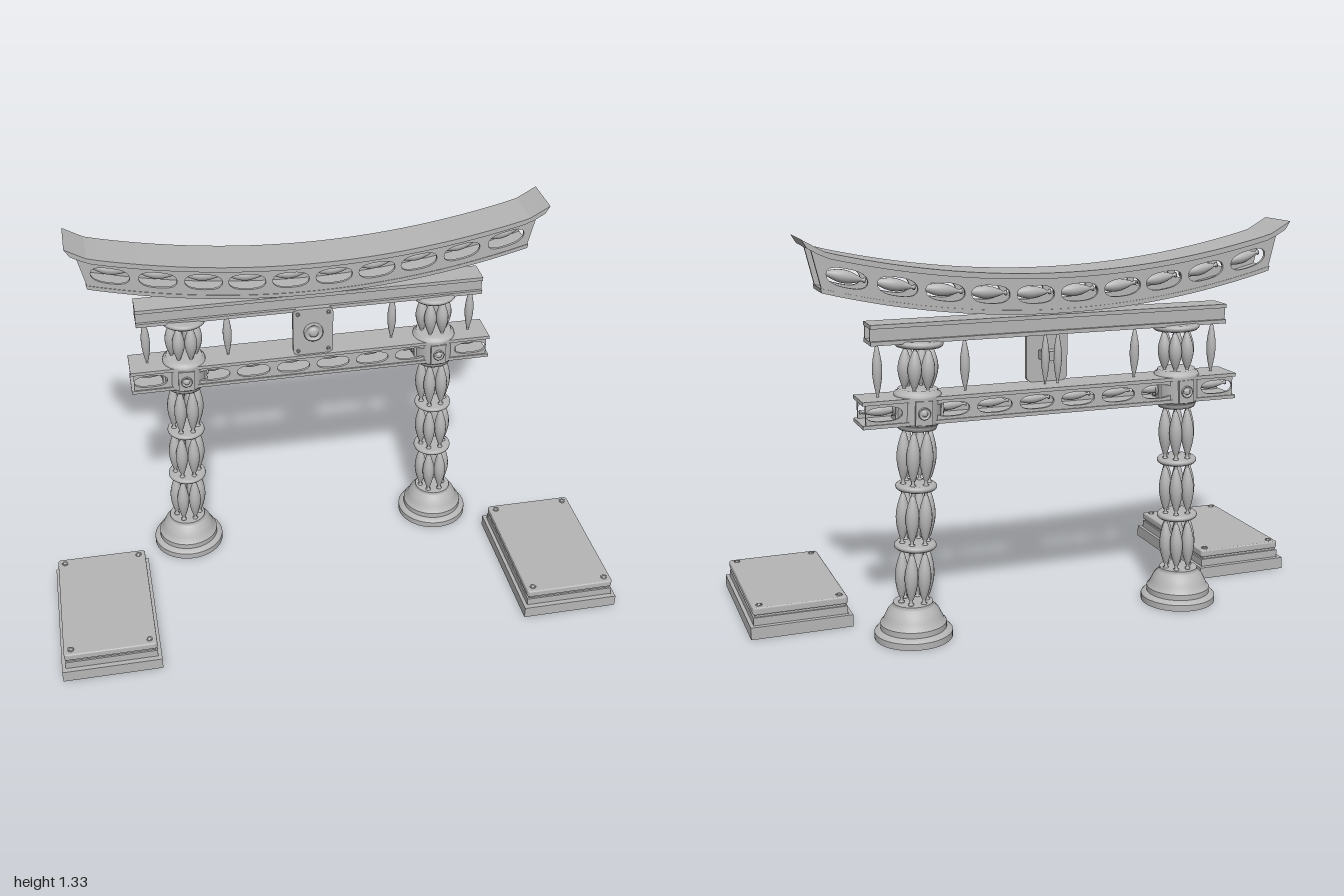
import * as THREE from 'three';

const GATE_Z = -0.28;

export function createModel() {
  const root = new THREE.Group();
  const stone = new THREE.MeshStandardMaterial({ color: 0xb6b6b6 });
  stone.name = 'stone grey';

  const add = (parent, name, geo, x = 0, y = 0, z = 0) => {
    const m = new THREE.Mesh(geo, stone);
    m.name = name;
    m.position.set(x, y, z);
    parent.add(m);
    return m;
  };
  const group = (parent, name, x = 0, y = 0, z = 0) => {
    const g = new THREE.Group();
    g.name = name;
    g.position.set(x, y, z);
    parent.add(g);
    return g;
  };
  const box = (parent, name, w, h, d, x, y, z) => add(parent, name, new THREE.BoxGeometry(w, h, d), x, y, z);
  const lathe = (pts, seg = 32) => new THREE.LatheGeometry(pts.map(p => new THREE.Vector2(p[0], p[1])), seg);
  const extrude = (shape, depth) => {
    const g = new THREE.ExtrudeGeometry(shape, { depth, bevelEnabled: false, curveSegments: 10 });
    return g.translate(0, 0, -depth / 2);
  };

  // Turned spindle: thin collared ends and a swollen middle, centred on its length
  const spindle = (len, r) => {
    const h = len / 2, pts = [[0, -h], [r * 0.42, -h], [r * 0.42, -h * 0.93], [r * 0.25, -h * 0.92], [r * 0.25, -h * 0.8]];
    for (let i = 0; i <= 12; i++) {
      const t = -1 + i / 6;
      pts.push([r * (0.36 + 0.64 * Math.cos(t * Math.PI / 2)), t * h * 0.78]);
    }
    pts.push([r * 0.25, h * 0.8], [r * 0.25, h * 0.92], [r * 0.42, h * 0.93], [r * 0.42, h], [0, h]);
    return lathe(pts, 14);
  };
  // Rounded disc with a given radius and thickness
  const ring = (r, t) => lathe([[0, -t / 2], [r * 0.9, -t / 2], [r * 0.98, -t / 4], [r, 0], [r * 0.98, t / 4], [r * 0.9, t / 2], [0, t / 2]]);
  // Round boss with raised rim and domed centre, facing +y
  const boss = (r, h) => lathe([[r, 0], [r, h * 0.6], [r * 0.85, h * 0.7], [r * 0.7, h * 0.3], [r * 0.5, h * 0.35], [r * 0.45, h * 0.8], [r * 0.25, h], [0, h]], 20);
  // Oval slot following a height rule
  const slot = (cx, a, b, yAt) => {
    const pts = [];
    for (let i = 0; i < 32; i++) {
      const t = i / 32 * Math.PI * 2, c = Math.cos(t), s = Math.sin(t);
      const x = cx + a * Math.sign(c) * Math.abs(c) ** 0.75;
      pts.push(new THREE.Vector2(x, yAt(x) + b * Math.sign(s) * Math.abs(s) ** 0.85));
    }
    return new THREE.Path(pts);
  };
  // Band between two height curves
  const band = (lo, hi, xLo, xHi) => {
    const pts = [], n = 48;
    for (let i = 0; i <= n; i++) { const x = -xLo + 2 * xLo * i / n; pts.push(new THREE.Vector2(x, lo(x))); }
    for (let i = n; i >= 0; i--) { const x = -xHi + 2 * xHi * i / n; pts.push(new THREE.Vector2(x, hi(x))); }
    return new THREE.Shape(pts);
  };
  const roundRect = (w, h, r) => {
    const s = new THREE.Shape(), x = w / 2, y = h / 2;
    s.moveTo(-x + r, -y);
    s.lineTo(x - r, -y).absarc(x - r, -y + r, r, -Math.PI / 2, 0);
    s.absarc(x - r, y - r, r, 0, Math.PI / 2).absarc(-x + r, y - r, r, Math.PI / 2, Math.PI);
    s.absarc(-x + r, -y + r, r, Math.PI, Math.PI * 1.5);
    return s;
  };

  const gate = group(root, 'gate', 0, 0, GATE_Z);

  // Pillars, leaning slightly inward
  for (const side of [-1, 1]) {
    const pillar = group(gate, side > 0 ? 'leftPillar' : 'rightPillar', side * 0.487, 0, 0);
    add(pillar, 'foot', lathe([[0, 0], [0.13, 0], [0.13, 0], [0.13, 0.022], [0.13, 0.022], [0.122, 0.03], [0.11, 0.033], [0.11, 0.033],
      [0.11, 0.052], [0.11, 0.052], [0.102, 0.06], [0.095, 0.075], [0.085, 0.095], [0.07, 0.11], [0.066, 0.113], [0.066, 0.122], [0.066, 0.122], [0, 0.122]], 40));
    const shaft = group(pillar, 'shaft');
    shaft.rotation.z = side * 0.034;
    for (const [y0, y1] of [[0.12, 0.31], [0.322, 0.51], [0.522, 0.715], [0.83, 0.98]]) {
      const geo = spindle(y1 - y0, 0.0225);
      for (let i = 0; i < 6; i++) {
        const a = i * Math.PI / 3;
        add(shaft, 'columnSpindle', geo, 0.044 * Math.cos(a), (y0 + y1) / 2, 0.044 * Math.sin(a));
      }
    }
    for (const [y, r, t] of [[0.316, 0.07, 0.02], [0.516, 0.068, 0.02], [0.986, 0.08, 0.022]])
      add(shaft, 'columnRing', ring(r, t), 0, y, 0);
    // Collar where the tie beam crosses
    add(shaft, 'collar', lathe([[0, 0.708], [0.062, 0.708], [0.066, 0.718], [0.066, 0.724], [0.075, 0.728], [0.077, 0.735], [0.077, 0.735],
      [0.077, 0.82], [0.077, 0.82], [0.075, 0.828], [0.066, 0.83], [0.064, 0.84], [0, 0.84]], 24));
    for (let i = 0; i < 4; i++) {
      const turn = group(shaft, 'collarBoss', 0, 0.772, 0);
      turn.rotation.y = i * Math.PI / 2;
      box(turn, 'bossPlate', 0.056, 0.078, 0.012, 0, 0, 0.073);
      add(turn, 'boss', boss(0.02, 0.011), 0, 0, 0.078).rotation.x = Math.PI / 2;
    }
  }

  // Lower tie beam: hollow box with slotted sides and spindles inside
  const tie = group(gate, 'tieBeam', 0, 0.775, 0);
  for (const s of [-1, 1]) box(tie, 'tieFlange', 1.31, 0.012, 0.126, 0, s * 0.038, 0);
  const slots = [0.0725, 0.2175, 0.3625, 0.585].flatMap(x => [-x, x]);
  const side = band(() => -0.038, () => 0.038, 0.645, 0.645);
  for (const x of slots) side.holes.push(slot(x, 0.059, 0.023, () => 0));
  const sideGeo = extrude(side, 0.01);
  for (const s of [-1, 1]) add(tie, 'tieSide', sideGeo, 0, 0, s * 0.053);
  const tieSpindle = spindle(0.13, 0.017);
  for (const x of slots) add(tie, 'tieSpindle', tieSpindle, x, 0, 0).rotation.z = Math.PI / 2;

  // Upper beam: two flanges on a pair of thin webs
  const lintel = group(gate, 'upperBeam', 0, 1.024, 0);
  for (const s of [-1, 1]) {
    box(lintel, 'upperFlange', 1.24, 0.013, 0.092, 0, s * 0.0265, 0);
    box(lintel, 'upperWeb', 1.24, 0.045, 0.006, 0, 0, s * 0.032);
  }

  // Hanging spindles between the beams
  const hanger = spindle(0.19, 0.016);
  for (const x of [-0.59, -0.3, 0.3, 0.59]) add(gate, 'hangingSpindle', hanger, x, 0.905, 0);

  // Centre plaque with boss, corner studs and rear supports
  const plaque = group(gate, 'plaque', 0, 0.912, 0.048);
  add(plaque, 'plaqueBoard', extrude(roundRect(0.145, 0.185, 0.02), 0.016));
  add(plaque, 'plaqueBoss', boss(0.035, 0.018), 0, 0, 0.008).rotation.x = Math.PI / 2;
  for (const sx of [-1, 1]) {
    for (const sy of [-1, 1])
      add(plaque, 'plaqueStud', boss(0.007, 0.006), sx * 0.055, sy * 0.075, 0.008).rotation.x = Math.PI / 2;
    add(plaque, 'plaqueSupport', spindle(0.19, 0.014), sx * 0.022, -0.006, -0.048);
  }
  box(plaque, 'plaqueBracket', 0.06, 0.03, 0.045, 0, 0, -0.028);

  // Curved roof beam: wide top plate, slotted sides, bottom plate
  const roof = group(gate, 'roofBeam');
  const topY = x => 1.197 + 0.165 * x * x + 0.3 * Math.max(0, Math.abs(x) - 0.76);
  const botY = x => 1.062 + 0.175 * x * x;
  const midY = x => 1.126 + 0.17 * x * x;
  add(roof, 'roofPlate', extrude(band(x => topY(x) - 0.018, topY, 0.815, 0.832), 0.162));
  add(roof, 'roofUnderside', extrude(band(botY, x => botY(x) + 0.014, 0.77, 0.773), 0.114));
  const cheek = band(x => botY(x) + 0.006, x => topY(x) - 0.01, 0.768, 0.8);
  const roofSlots = [0.076, 0.228, 0.378, 0.532, 0.69].flatMap(x => [-x, x]);
  for (const x of roofSlots) cheek.holes.push(slot(x, 0.064, 0.029, midY));
  const cheekGeo = extrude(cheek, 0.01);
  for (const s of [-1, 1]) add(roof, 'roofSide', cheekGeo, 0, 0, s * 0.05);
  const roofSpindle = spindle(0.142, 0.021);
  for (const x of roofSlots)
    add(roof, 'roofSpindle', roofSpindle, x, midY(x), 0).rotation.z = Math.atan(0.34 * x) - Math.PI / 2;

  // Low plinths in front, hollow underneath
  for (const s of [-1, 1]) {
    const plinth = group(root, s > 0 ? 'leftPlinth' : 'rightPlinth', s * 0.828, 0, 0.138);
    for (const e of [-1, 1]) {
      box(plinth, 'plinthRimLong', 0.012, 0.042, 0.544, e * 0.166, 0.021, 0);
      box(plinth, 'plinthRimShort', 0.32, 0.042, 0.012, 0, 0.021, e * 0.266);
    }
    box(plinth, 'plinthFloor', 0.33, 0.006, 0.53, 0, 0.038, 0);
    box(plinth, 'plinthStep', 0.318, 0.028, 0.506, 0, 0.054, 0);
    box(plinth, 'plinthGroove', 0.306, 0.012, 0.494, 0, 0.072, 0);
    const slab = new THREE.ExtrudeGeometry(roundRect(0.31, 0.498, 0.006), {
      depth: 0.016, bevelEnabled: true, bevelSize: 0.005, bevelThickness: 0.005, bevelSegments: 3, curveSegments: 4 });
    add(plinth, 'plinthTop', slab, 0, 0.081, 0).rotation.x = -Math.PI / 2;
    for (const sx of [-1, 1]) for (const sz of [-1, 1])
      add(plinth, 'plinthStud', boss(0.011, 0.006), sx * 0.135, 0.102, sz * 0.228);
  }
  return root;
}
